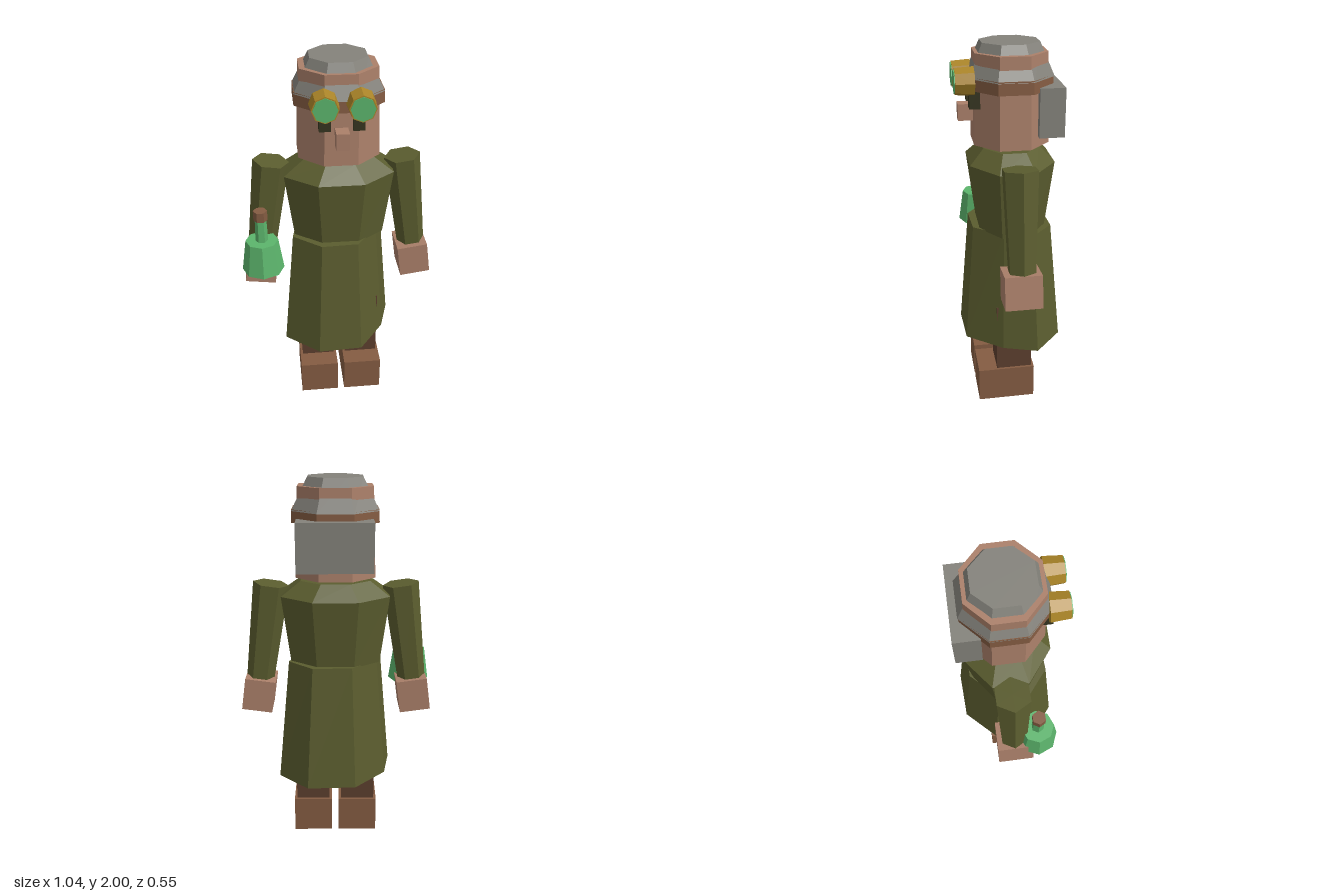
import * as THREE from 'three';

const mat = (name, color) => {
  const m = new THREE.MeshStandardMaterial({ color, flatShading: true });
  m.name = name;
  return m;
};

// Closed solid through stacked rings; points run counterclockwise seen from above
function loft(rings) {
  const pos = [], n = rings[0].length;
  const tri = (...p) => p.forEach((v) => pos.push(...v));
  for (let r = 0; r < rings.length - 1; r++) {
    for (let i = 0; i < n; i++) {
      const j = (i + 1) % n, a = rings[r], b = rings[r + 1];
      tri(a[i], a[j], b[j]);
      tri(a[i], b[j], b[i]);
    }
  }
  const top = rings[rings.length - 1], bottom = rings[0];
  for (let i = 1; i < n - 1; i++) {
    tri(top[0], top[i], top[i + 1]);
    tri(bottom[0], bottom[i + 1], bottom[i]);
  }
  const g = new THREE.BufferGeometry();
  g.setAttribute('position', new THREE.Float32BufferAttribute(pos, 3));
  g.computeVertexNormals();
  return g;
}

// Octagon ring with flat sides forward; hx and hz are half widths
function octagon(y, hx, hz, cx = 0.003, cz = -0.012) {
  const k = Math.cos(Math.PI / 8);
  return Array.from({ length: 8 }, (_, i) => {
    const a = (i + 0.5) * Math.PI / 4;
    return [cx + Math.sin(a) * hx / k, y, cz + Math.cos(a) * hz / k];
  });
}

export function createModel() {
  const group = new THREE.Group();
  const olive = mat('coat olive', 0x5b5d2f);
  const skin = mat('skin', 0xab806a);
  const grey = mat('grey', 0x84827b);
  const brown = mat('leather brown', 0x845c42);
  const darkBrown = mat('trouser brown', 0x5c3f2e);
  const green = mat('glass green', 0x5cb56c);
  const gold = mat('brass', 0xaa8428);
  const dark = mat('eye dark', 0x35341f);

  const add = (name, geometry, material, x = 0, y = 0, z = 0, parent = group) => {
    const m = new THREE.Mesh(geometry, material);
    m.name = name;
    m.position.set(x, y, z);
    parent.add(m);
    return m;
  };
  const box = (name, material, x0, x1, y0, y1, z0, z1) => add(name,
    new THREE.BoxGeometry(x1 - x0, y1 - y0, z1 - z0), material,
    (x0 + x1) / 2, (y0 + y1) / 2, (z0 + z1) / 2);

  // Boots and trouser legs
  for (const [side, x] of [['right', -0.122], ['left', 0.131]]) {
    box(side + 'Boot', brown, x - 0.107, x + 0.107, 0, 0.2, -0.12, 0.195);
    box(side + 'TrouserLeg', darkBrown, x - 0.093, x + 0.093, 0.2, 0.6, -0.105, 0.09);
  }

  // Coat skirt, an uneven octagon that narrows to the waist
  const hem = [[-0.31, 0.11], [-0.125, 0.26], [0.115, 0.25], [0.26, 0.06],
    [0.317, -0.125], [0.155, -0.276], [-0.105, -0.265], [-0.275, -0.09]];
  add('coatSkirt', loft([
    hem.map(([x, z]) => [x, 0.36, z]),
    hem.map(([x, z]) => [x * 0.8, 1.037, z * 0.79]),
  ]), olive);

  // Coat body with sloped shoulders
  add('coatBody', loft([
    octagon(1.03, 0.238, 0.175), octagon(1.395, 0.285, 0.22), octagon(1.473, 0.182, 0.145),
  ]), olive);

  // Arms and hands, tilted outward
  for (const [side, s] of [['right', -1], ['left', 1]]) {
    const arm = new THREE.Group();
    arm.name = side + 'Arm';
    arm.position.set(s * 0.344, 1.447, -0.012);
    arm.rotation.z = s * 0.138;
    group.add(arm);
    const sleeve = new THREE.CylinderGeometry(0.096, 0.076, 0.53, 6).rotateY(Math.PI / 6);
    add(side + 'Sleeve', sleeve, olive, 0, -0.265, 0, arm);
    add(side + 'Hand', new THREE.BoxGeometry(0.166, 0.178, 0.192), skin, -s * 0.005, -0.614, 0.003, arm);
  }

  // Bottle with neck and cork
  const bottle = new THREE.Group();
  bottle.name = 'bottle';
  bottle.position.set(-0.414, 0, 0.115);
  group.add(bottle);
  add('bottleBody', new THREE.CylinderGeometry(0.087, 0.113, 0.178, 8), green, 0, 0.956, 0, bottle);
  add('bottleNeck', new THREE.CylinderGeometry(0.03, 0.034, 0.14, 6).rotateY(Math.PI / 6), green, 0, 1.11, 0, bottle);
  add('cork', new THREE.CylinderGeometry(0.037, 0.037, 0.055, 6).rotateY(Math.PI / 6), brown, 0, 1.197, 0, bottle);

  // Neck, head, goggle strap and the tapered cap of hair
  add('neck', loft([octagon(1.44, 0.092, 0.09), octagon(1.52, 0.092, 0.09)]), skin);
  add('head', loft([octagon(1.495, 0.207, 0.193), octagon(1.955, 0.192, 0.182)]), skin);
  add('goggleStrap', loft([octagon(1.777, 0.223, 0.21), octagon(1.843, 0.221, 0.208)]), brown);
  add('hairCap', loft([octagon(1.835, 0.222, 0.213), octagon(2.0, 0.14, 0.144)]), grey);

  // Goggles and eyes
  for (const [side, x] of [['right', -0.083], ['left', 0.093]]) {
    const rim = new THREE.CylinderGeometry(0.066, 0.073, 0.095, 8).rotateX(Math.PI / 2);
    add(side + 'GoggleRim', rim, gold, x, 1.824, 0.2255);
    const lens = new THREE.CylinderGeometry(0.06, 0.06, 0.008, 8).rotateX(Math.PI / 2);
    add(side + 'GoggleLens', lens, green, x, 1.824, 0.2735);
    const ex = x < 0 ? -0.079 : 0.086;
    box(side + 'Eye', dark, ex - 0.029, ex + 0.029, 1.688, 1.79, 0.15, 0.204);
  }
  box('nose', skin, -0.03, 0.035, 1.61, 1.695, 0.15, 0.255);

  // Block behind the head
  box('hairBlock', grey, -0.188, 0.2, 1.55, 1.8, -0.262, -0.133);

  return group;
}
